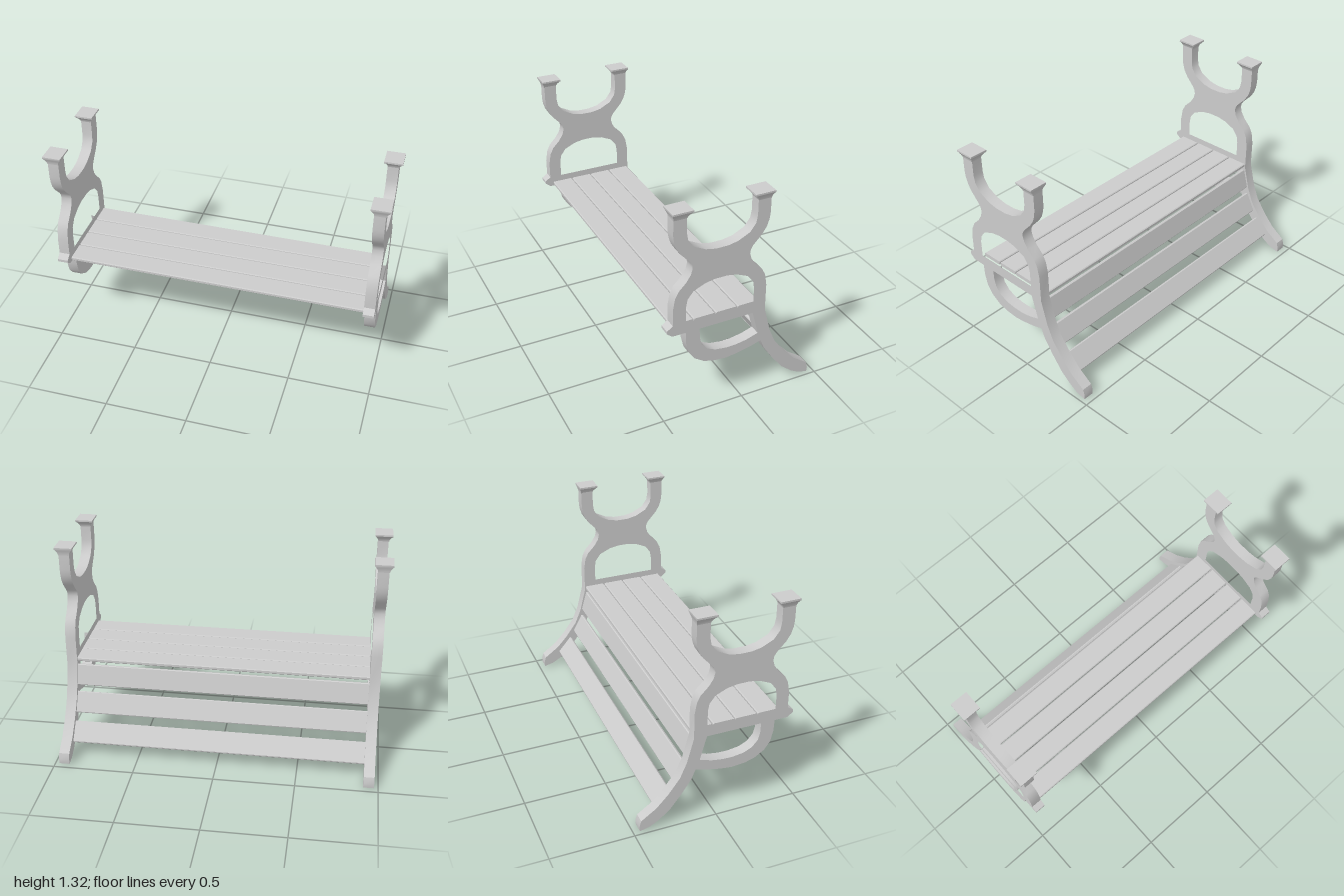
import * as THREE from 'three';
import { toCreasedNormals } from 'three/addons/utils/BufferGeometryUtils.js';

const material = new THREE.MeshStandardMaterial({ color: 0xcccccc });
const MID = 0.1465; // z of the symmetry line of the upper frame
const pts = (list) => list.map(([z, y]) => new THREE.Vector2(z, y));
const mirror = (list) => list.map(([z, y]) => [2 * MID - z, y]).reverse();

// Extrudes a (z, y) outline along x, centred on x = 0
function extrudeAcross(shape, width) {
  const geo = new THREE.ExtrudeGeometry(shape, { depth: width, bevelEnabled: false });
  geo.translate(0, 0, -width / 2);
  geo.rotateY(-Math.PI / 2);
  return toCreasedNormals(geo, 0.55);
}

function endFrameGeometry() {
  // Outer edge of the front upper limb, from the top down to the rail
  const limb = [
    [0.433, 1.28], [0.433, 1.18], [0.428, 1.14], [0.415, 1.1], [0.39, 1.06],
    [0.335, 1.0], [0.322, 0.977], [0.319, 0.955], [0.328, 0.92], [0.355, 0.878],
    [0.4, 0.832], [0.421, 0.79], [0.433, 0.72],
  ];
  const nose = [[0.433, 0.62], [0.468, 0.595], [0.468, 0.578], [0.435, 0.552], [0.355, 0.552]];
  const armUnder = [
    [0.352, 0.48], [0.335, 0.41], [0.3, 0.36], [0.24, 0.32], [0.18, 0.302],
    [0.1, 0.295], [0.03, 0.303], [-0.06, 0.322], [-0.125, 0.343],
  ];
  const tail = [
    [-0.15, 0.28], [-0.21, 0.19], [-0.28, 0.1], [-0.35, 0.043], [-0.4, 0.015], [-0.46, 0],
    [-0.463, 0.03], [-0.452, 0.07], [-0.36, 0.135], [-0.29, 0.21], [-0.22, 0.305],
    [-0.18, 0.4], [-0.14, 0.555],
  ];
  // Half of the curved U between the two upper limbs
  const cradle = [
    [-0.062, 1.28], [-0.062, 1.18], [-0.054, 1.135], [-0.02, 1.088], [0.05, 1.053], [0.11, 1.041],
  ];
  const shape = new THREE.Shape(pts([
    ...limb, ...nose, ...armUnder, ...tail, ...mirror(limb), ...cradle, ...mirror(cradle),
  ]));

  // Arched opening above the rail
  const arch = [[-0.062, 0.62], [-0.062, 0.72], [-0.054, 0.765], [-0.02, 0.81], [0.05, 0.841], [0.11, 0.852]];
  shape.holes.push(new THREE.Path(pts([...arch, ...mirror(arch)])));

  // Curved opening below the rail
  shape.holes.push(new THREE.Path(pts([
    [0.27, 0.552], [-0.062, 0.552], [-0.102, 0.402], [-0.03, 0.378], [0.04, 0.367], [0.1, 0.366],
    [0.17, 0.376], [0.22, 0.4], [0.255, 0.44], [0.268, 0.49],
  ])));
  return extrudeAcross(shape, 0.065);
}

// Flared square pad: a box whose rows widen toward the top
function padGeometry(shiftZ) {
  const h = 0.05;
  const geo = new THREE.BoxGeometry(1, h, 1, 1, 5, 1);
  const p = geo.attributes.position;
  for (let i = 0; i < p.count; i++) {
    const t = THREE.MathUtils.clamp((p.getY(i) / h + 0.5) * 1.25, 0, 1);
    const flare = t ** 1.6;
    p.setX(i, p.getX(i) * THREE.MathUtils.lerp(0.065, 0.109, flare));
    p.setZ(i, p.getZ(i) * THREE.MathUtils.lerp(0.078, 0.12, flare) + shiftZ * flare);
  }
  return toCreasedNormals(geo, 0.55);
}

// Long board with slightly chamfered edges
function slatGeometry(depth, thickness) {
  const a = depth / 2, b = thickness / 2, c = 0.005;
  const shape = new THREE.Shape(pts([
    [a, -b + c], [a, b - c], [a - c, b], [-a + c, b],
    [-a, b - c], [-a, -b + c], [-a + c, -b], [a - c, -b],
  ]));
  return extrudeAcross(shape, 1.83);
}

export function createModel() {
  const model = new THREE.Group();
  const add = (parent, name, geo, x, y, z) => {
    const mesh = new THREE.Mesh(geo, material);
    mesh.name = name;
    mesh.position.set(x, y, z);
    parent.add(mesh);
    return mesh;
  };

  // Two end frames with flared pads
  const frame = endFrameGeometry();
  const frontPad = padGeometry(-0.006);
  const backPad = padGeometry(0.01);
  for (const [side, s] of [['left', 1], ['right', -1]]) {
    const end = new THREE.Group();
    end.name = side + 'End';
    add(end, side + 'Frame', frame, s * 0.9425, 0, 0);
    add(end, side + 'FrontPad', frontPad, s * 0.9445, 1.295, 0.394);
    add(end, side + 'BackPad', backPad, s * 0.9445, 1.295, -0.101);
    model.add(end);
  }

  // Flat deck of four boards
  const deckBoard = slatGeometry(0.132, 0.024);
  for (let i = 0; i < 4; i++) {
    add(model, 'deckSlat' + (i + 1), deckBoard, 0, 0.568, 0.346 - i * 0.138);
  }

  // Three tilted boards following the rear legs: y, z, rise, run
  const rearBoard = slatGeometry(0.136, 0.022);
  [
    [0.467, -0.14, 0.13, 0.036],
    [0.298, -0.195, 0.117, 0.062],
    [0.141, -0.3, 0.098, 0.083],
  ].forEach(([y, z, rise, run], i) => {
    const slat = add(model, 'rearSlat' + (i + 1), rearBoard, 0, y, z);
    slat.rotation.x = -Math.atan2(rise, run);
  });
  return model;
}
